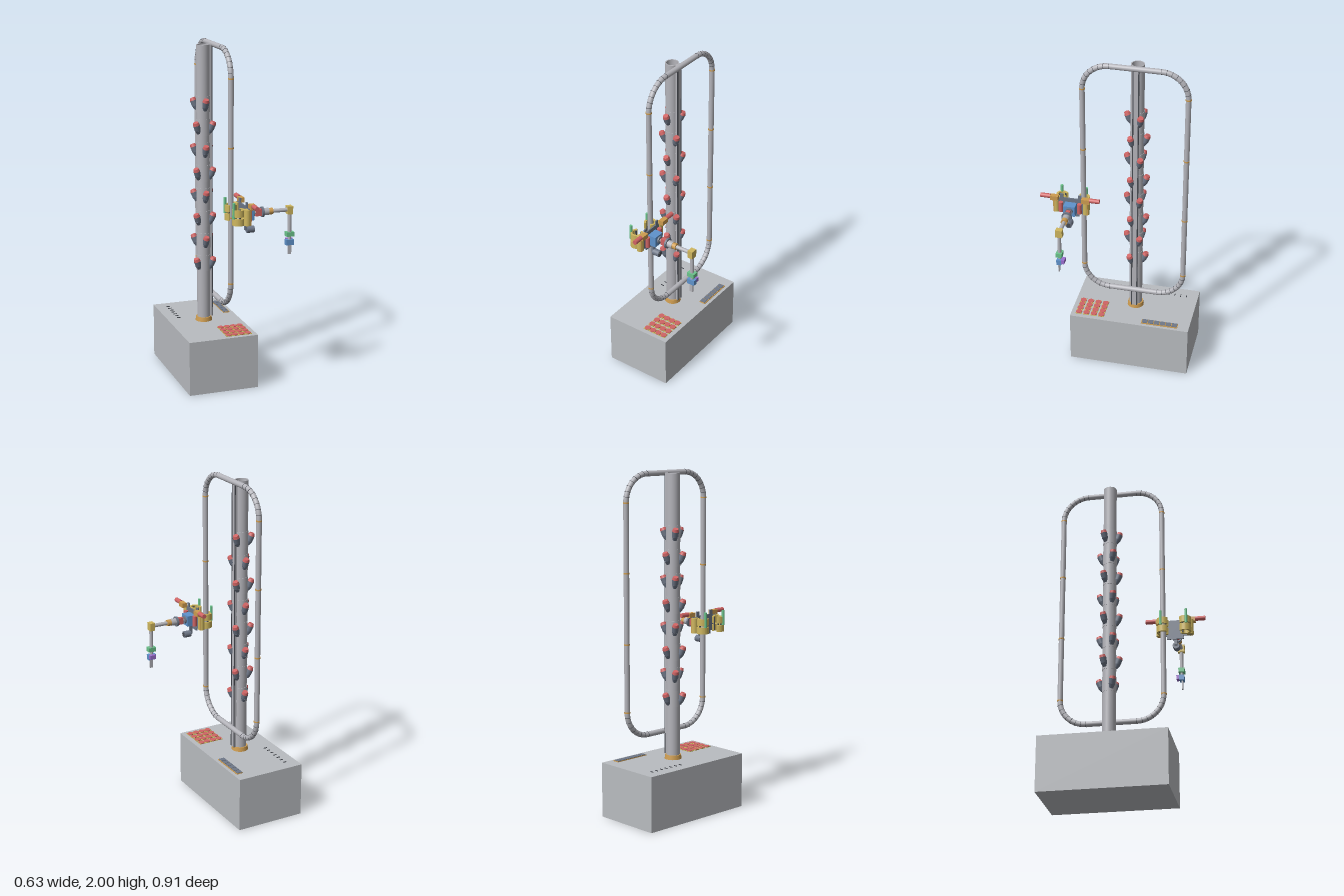
import * as THREE from 'three';

const mat = (name, color) => Object.assign(new THREE.MeshStandardMaterial({ color }), { name });

export function createModel() {
  const M = {
    base: mat('base grey', 0xb9bcc0), metal: mat('metal grey', 0xb4b4ba), slate: mat('slate', 0x6f7888),
    red: mat('red', 0xcf6464), gold: mat('gold', 0xcfb75f), orange: mat('orange', 0xcd9c50),
    blue: mat('blue', 0x5f93cc), green: mat('green', 0x6cc48c), purple: mat('purple', 0x9c6fd0),
    dark: mat('dark grey', 0x484b52),
  };
  const root = new THREE.Group();
  root.name = 'towerFarm';
  const group = (name, parent = root) => {
    const g = new THREE.Group();
    g.name = name;
    parent.add(g);
    return g;
  };
  const add = (parent, name, geo, m) => {
    const mesh = new THREE.Mesh(geo, m);
    mesh.name = name;
    parent.add(mesh);
    return mesh;
  };
  // box given by its limits
  const box = (p, name, m, x0, x1, y0, y1, z0, z1) => {
    const b = add(p, name, new THREE.BoxGeometry(x1 - x0, y1 - y0, z1 - z0), m);
    b.position.set((x0 + x1) / 2, (y0 + y1) / 2, (z0 + z1) / 2);
    return b;
  };
  // cylinder between two points
  const rod = (p, name, m, a, b, r, r2 = r, sides = 20) => {
    const A = new THREE.Vector3(...a), B = new THREE.Vector3(...b), d = B.clone().sub(A);
    const c = add(p, name, new THREE.CylinderGeometry(r2, r, d.length(), sides), m);
    c.position.copy(A).add(B).multiplyScalar(0.5);
    c.quaternion.setFromUnitVectors(new THREE.Vector3(0, 1, 0), d.normalize());
    return c;
  };

  // base with its trays and slits
  const TOP = 0.325;
  const base = group('base');
  box(base, 'baseBlock', M.base, -0.318, 0.102, 0, TOP, -0.457, 0.277);
  for (let i = 0; i < 4; i++) for (let j = 0; j < 4; j++) {
    const x = -0.064 + i * 0.0395, z = 0.09 + j * 0.047;
    box(base, 'seedTray', M.gold, x - 0.0185, x + 0.0185, TOP, TOP + 0.004, z - 0.018, z + 0.018);
    rod(base, 'seedPlug', M.red, [x, TOP, z], [x, TOP + 0.007, z], 0.0185);
  }
  box(base, 'toolRackTrim', M.orange, 0.041, 0.082, TOP, TOP + 0.004, -0.387, -0.163);
  for (let i = 0; i < 6; i++) {
    const z = -0.385 + i * 0.0367;
    box(base, 'toolRackSlot', M.slate, 0.043, 0.077, TOP, TOP + 0.007, z + 0.002, z + 0.034);
  }
  for (let i = 0; i < 7; i++) {
    const z = -0.385 + i * 0.0367;
    box(base, 'slit', M.dark, -0.256, -0.235, TOP, TOP + 0.004, z - 0.002, z + 0.002);
  }

  // hollow column
  const CX = -0.11, CZ = -0.09;
  const column = group('column');
  const wall = [[0.039, TOP], [0.039, 1.985], [0.033, 1.985], [0.033, 1.9]];
  for (let i = 0; i < 3; i++) {
    const pts = [wall[i], wall[i + 1]].map(([r, y]) => new THREE.Vector2(r, y));
    add(column, 'columnWall', new THREE.LatheGeometry(pts, 32), M.metal).position.set(CX, 0, CZ);
  }
  rod(column, 'columnCore', M.slate, [CX, 1.88, CZ], [CX, 1.905, CZ], 0.033);
  rod(column, 'innerPipe', M.metal, [CX, 1.9, CZ], [CX, 1.96, CZ], 0.018, 0.018, 6);
  rod(column, 'columnCollar', M.orange, [CX, TOP, CZ], [CX, 0.35, CZ], 0.05, 0.046, 24);
  box(column, 'columnRail', M.metal, -0.074, -0.06, 0.35, 1.985, CZ - 0.018, CZ + 0.018);
  for (const s of [-1, 1])
    box(column, 'railGroove', M.dark, -0.062, -0.058, 0.35, 1.985, CZ + s * 0.016 - 0.003, CZ + s * 0.016 + 0.003);

  // staggered rows of growing cups
  for (let row = 0; row < 8; row++) {
    const y = 1.65 - row * 0.1365;
    const tier = group('cupRow');
    rod(tier, 'sleeve', M.metal, [CX, y - 0.055, CZ], [CX, y + 0.04, CZ], 0.041, 0.041, 32);
    for (let k = 0; k < 3; k++) {
      const a = k * Math.PI * 2 / 3 + (row % 2) * Math.PI / 3;
      const at = (r, h) => [CX + Math.sin(a) * r, y + h, CZ + Math.cos(a) * r];
      rod(tier, 'cupFoot', M.slate, at(0.037, -0.042), at(0.046, -0.02), 0.011, 0.018, 16);
      rod(tier, 'cup', M.slate, at(0.046, -0.02), at(0.057, 0.01), 0.018, 0.02, 16);
      rod(tier, 'plantPlug', M.red, at(0.057, 0.01), at(0.063, 0.025), 0.02, 0.015, 16);
    }
  }

  // loop track
  const LX = -0.046, LY = 1.2325, LZ = -0.0875, HY = 0.7515, HZ = 0.303, R = 0.155, T = 0.0158;
  const loop = group('loopTrack');
  for (const s of [-1, 1]) {
    const z = LZ + s * HZ, y = LY + s * HY;
    rod(loop, 'verticalTube', M.metal, [LX, LY - HY + R, z], [LX, LY + HY - R, z], T);
    rod(loop, 'crossTube', M.metal, [LX, y, LZ - HZ + R], [LX, y, LZ + HZ - R], T);
    for (const b of [0.636, 1.03, 1.435, 1.829])
      rod(loop, 'trackJoint', M.orange, [LX, b - 0.004, z], [LX, b + 0.004, z], T + 0.0015);
    for (const t of [-1, 1]) {
      const cy = LY + t * (HY - R), cz = LZ + s * (HZ - R);
      const start = Math.atan2(t, -s) - Math.PI / 4;
      const bend = add(loop, 'cornerBend', new THREE.TorusGeometry(R, T, 16, 16, Math.PI / 2), M.metal);
      bend.rotation.y = Math.PI / 2;
      bend.position.set(LX, cy, cz);
      bend.geometry.rotateZ(start);
      for (let i = 0; i <= 8; i++) {
        const a = i / 8 * Math.PI / 2;
        const p = [LX, cy + t * R * Math.sin(a), cz + s * R * Math.cos(a)];
        const dy = t * Math.cos(a) * 0.0012, dz = -s * Math.sin(a) * 0.0012;
        rod(loop, 'bendSeam', M.dark, [LX, p[1] - dy, p[2] - dz], [LX, p[1] + dy, p[2] + dz], T + 0.0007);
      }
    }
  }

  // climbing robot: mirrored grippers about its middle plane
  const RZ = 0.28, AY = 1.065;
  const robot = group('climbingRobot');
  for (const s of [-1, 1]) {
    const g = group('gripper', robot);
    const z = d => RZ + s * d;
    const span = (a, b) => [Math.min(z(a), z(b)), Math.max(z(a), z(b))];
    const gap = s * Math.PI / 2, half = 0.55;
    const shape = new THREE.Shape();
    shape.absarc(0, 0, 0.036, gap + half, gap - half + Math.PI * 2, false);
    shape.absarc(0, 0, 0.024, gap - half + Math.PI * 2, gap + half, true);
    for (const y of [1.02, 1.07]) {
      const jaw = new THREE.ExtrudeGeometry(shape, { depth: 0.04, bevelEnabled: false, curveSegments: 20 });
      jaw.rotateX(-Math.PI / 2);
      add(g, 'jaw', jaw, M.gold).position.set(LX, y, z(0.065));
    }
    for (const a of [-0.8, 0.8, Math.PI]) {
      const px = LX + Math.sin(a) * 0.023, pz = z(0.065 - Math.cos(a) * 0.023);
      rod(g, 'gripPad', M.dark, [px, 1.025, pz], [px, 1.105, pz], 0.005, 0.005, 10);
    }
    rod(g, 'jawPivot', M.gold, [-0.002, 1.02, z(0.09)], [-0.002, 1.112, z(0.09)], 0.02);
    rod(g, 'sensorRod', M.green, [-0.078, 1.06, z(0.075)], [-0.078, 1.15, z(0.075)], 0.0085, 0.0085, 14);
    box(g, 'motorMount', M.orange, 0.01, 0.04, 1.112, 1.14, ...span(0.07, 0.118));
    box(g, 'sideBracket', M.orange, 0.004, 0.016, 1.02, 1.112, ...span(0.09, 0.104));
    rod(g, 'motor', M.red, [0.025, 1.132, z(0.118)], [0.025, 1.132, z(0.177)], 0.0135);
    rod(g, 'driveMotor', M.red, [0.025, 1.035, z(0.056)], [0.025, 1.098, z(0.056)], 0.0135);
    box(g, 'sidePlate', M.slate, 0.002, 0.01, 1.02, 1.115, ...span(0.035, 0.1));
    box(g, 'topTab', M.slate, 0.002, 0.01, 1.115, 1.145, ...span(0.045, 0.065));
  }

  // robot body
  box(robot, 'backPlate', M.slate, 0.002, 0.01, 1.0, 1.12, RZ - 0.05, RZ + 0.05);
  box(robot, 'body', M.blue, 0.01, 0.062, 1.03, 1.095, RZ - 0.037, RZ + 0.033);
  box(robot, 'cameraNeck', M.slate, 0.014, 0.03, 0.968, 1.03, RZ - 0.008, RZ + 0.008);
  rod(robot, 'camera', M.slate, [0.026, 0.97, RZ], [0.07, 0.97, RZ], 0.02);
  rod(robot, 'cameraLens', M.dark, [0.07, 0.97, RZ], [0.073, 0.97, RZ], 0.013);

  // arm reaching sideways
  const arm = group('arm', robot), Z = 0.276;
  const along = (name, m, x0, x1, r) => rod(arm, name, m, [x0, AY, Z], [x1, AY, Z], r);
  along('shoulder', M.slate, 0.062, 0.072, 0.022);
  along('shoulderShaft', M.metal, 0.072, 0.082, 0.01);
  box(arm, 'shoulderMotor', M.red, 0.08, 0.117, AY - 0.021, AY + 0.019, Z - 0.012, Z + 0.012);
  along('flange', M.slate, 0.116, 0.128, 0.03);
  along('sleeveJoint', M.metal, 0.128, 0.16, 0.021);
  along('wristCollar', M.orange, 0.16, 0.185, 0.019);
  along('forearm', M.metal, 0.185, 0.278, 0.0115);
  box(arm, 'elbow', M.gold, 0.273, 0.305, 1.04, 1.087, Z - 0.02, Z + 0.02);
  rod(arm, 'dropLink', M.metal, [0.291, 0.93, Z], [0.291, 1.042, Z], 0.011);
  box(arm, 'wrist', M.green, 0.268, 0.315, 0.907, 0.933, Z - 0.018, Z + 0.018);
  rod(arm, 'wristPin', M.metal, [0.291, 0.885, Z], [0.291, 0.91, Z], 0.009);
  box(arm, 'toolHead', M.blue, 0.267, 0.315, 0.855, 0.887, Z - 0.013, Z + 0.015);
  box(arm, 'toolSensor', M.purple, 0.277, 0.315, 0.865, 0.89, 0.244, Z - 0.012);
  box(arm, 'toolTip', M.metal, 0.281, 0.301, 0.8, 0.856, Z, Z + 0.008);
  return root;
}
